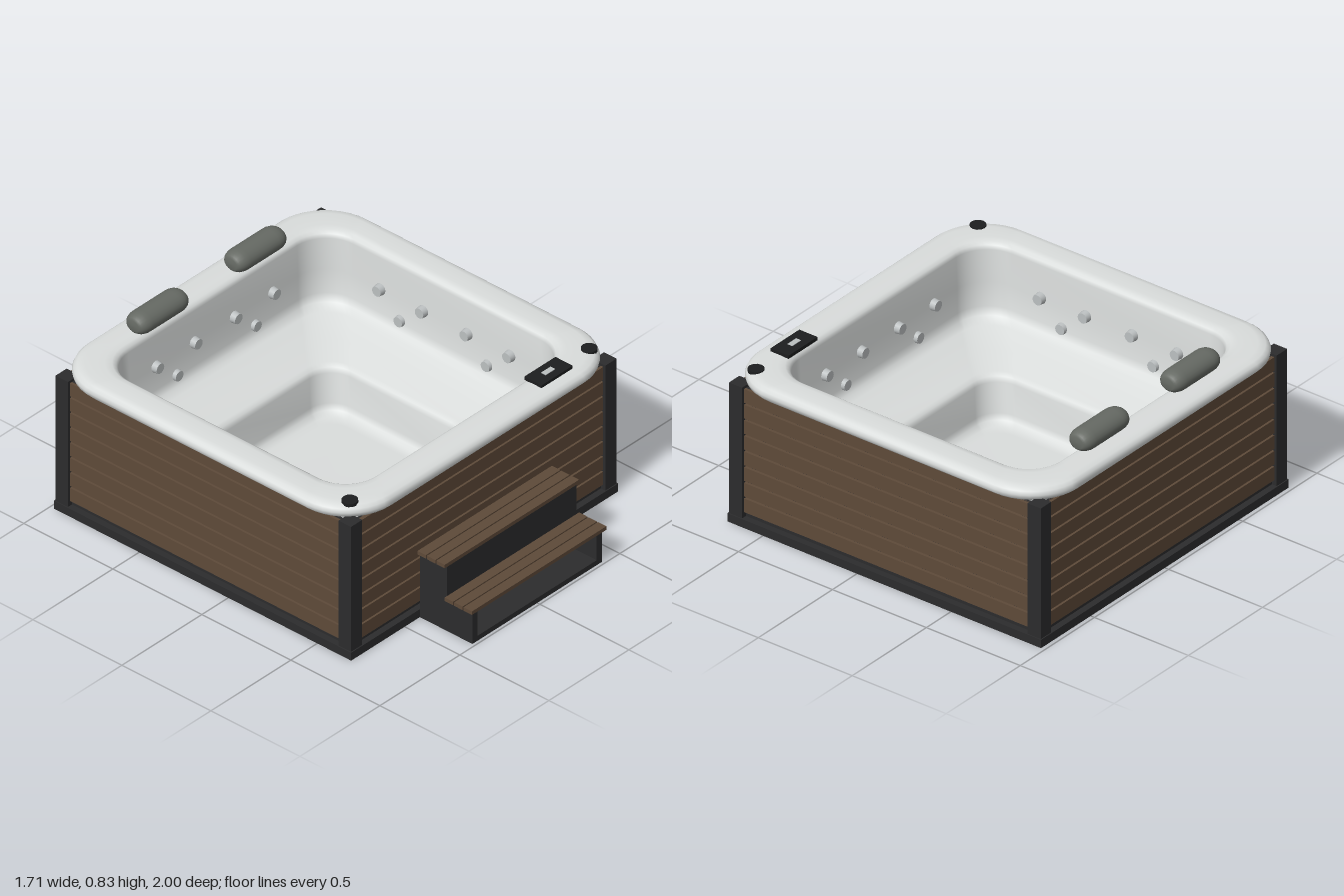
import * as THREE from 'three';

const mat = (name, color, extra = {}) => {
  const m = new THREE.MeshStandardMaterial({ color, ...extra });
  m.name = name;
  return m;
};

// Surface through rounded-square rings; each profile row is [half width, corner radius, y]
function ringSurface(profile, cornerSegs) {
  const pos = [], idx = [];
  const n = 4 * (cornerSegs + 1);
  for (const [h, r, y] of profile) {
    for (let c = 0; c < 4; c++) {
      const mid = Math.PI / 4 + c * Math.PI / 2;
      const cx = Math.sign(Math.cos(mid)) * (h - r), cz = Math.sign(Math.sin(mid)) * (h - r);
      for (let s = 0; s <= cornerSegs; s++) {
        const a = c * Math.PI / 2 + (s / cornerSegs) * Math.PI / 2;
        pos.push(cx + r * Math.cos(a), y, -(cz + r * Math.sin(a)));
      }
    }
  }
  for (let i = 0; i < profile.length - 1; i++) {
    for (let j = 0; j < n; j++) {
      const a = i * n + j, b = i * n + (j + 1) % n, c = a + n, d = b + n;
      idx.push(a, b, c, b, d, c);
    }
  }
  const g = new THREE.BufferGeometry();
  g.setAttribute('position', new THREE.Float32BufferAttribute(pos, 3));
  g.setIndex(idx);
  g.computeVertexNormals();
  return g;
}

export function createModel() {
  const charcoal = mat('charcoal', 0x2c2c2d);
  const wood = mat('brown wood', 0x5e4a39);
  const acrylic = mat('white acrylic', 0xdadddc, { side: THREE.DoubleSide });
  const cushion = mat('grey cushion', 0x666a64);
  const silver = mat('silver', 0xbcc0c1);
  const black = mat('black', 0x1d1e1f);

  const model = new THREE.Group();
  model.name = 'hotTub';
  const tub = new THREE.Group();
  tub.name = 'tub';
  tub.position.z = -0.145;
  model.add(tub);

  const add = (parent, name, geo, material, x = 0, y = 0, z = 0) => {
    const m = new THREE.Mesh(geo, material);
    m.name = name;
    m.position.set(x, y, z);
    parent.add(m);
    return m;
  };
  // Box given by its limits on each axis
  const box = (parent, name, material, [x0, x1], [y0, y1], [z0, z1]) =>
    add(parent, name, new THREE.BoxGeometry(x1 - x0, y1 - y0, z1 - z0), material,
      (x0 + x1) / 2, (y0 + y1) / 2, (z0 + z1) / 2);

  // Base and corner posts
  box(tub, 'base', charcoal, [-0.835, 0.835], [0, 0.04], [-0.835, 0.835]);
  for (const sx of [-1, 1]) for (const sz of [-1, 1]) {
    add(tub, 'cornerPost', new THREE.BoxGeometry(0.07, 0.635, 0.07), charcoal, sx * 0.795, 0.3575, sz * 0.795);
  }

  // Four sides: backing panel, wooden slats and wall jets
  const jetGeo = new THREE.CylinderGeometry(0.024, 0.028, 0.034, 16).rotateX(-Math.PI / 2);
  for (let k = 0; k < 4; k++) {
    const side = new THREE.Group();
    side.name = 'side';
    side.rotation.y = k * Math.PI / 2;
    tub.add(side);
    box(side, 'backingPanel', charcoal, [-0.765, 0.765], [0.04, 0.663], [0.79, 0.805]);
    for (let i = 0; i < 8; i++) {
      const y = 0.065 + i * 0.076;
      box(side, 'slat', wood, [-0.76, 0.76], [y, y + 0.066], [0.8, 0.818]);
    }
    for (const s of [-1, 1]) [0.125, 0.245, 0.365].forEach((x, i) => {
      add(side, 'jet', jetGeo, silver, s * x, i === 1 ? 0.45 : 0.55, 0.675);
    });
  }

  // Rim, seat and footwell in one moulded shell
  const shell = [
    [0.76, 0.17, 0.664], [0.82, 0.22, 0.664], [0.84, 0.24, 0.668], [0.852, 0.25, 0.68],
    [0.855, 0.25, 0.697], [0.85, 0.25, 0.713], [0.836, 0.24, 0.724], [0.81, 0.23, 0.73],
    [0.74, 0.19, 0.73], [0.715, 0.18, 0.727], [0.7, 0.17, 0.717], [0.692, 0.165, 0.7],
    [0.685, 0.16, 0.55], [0.674, 0.16, 0.44], [0.66, 0.155, 0.405], [0.625, 0.15, 0.385],
    [0.52, 0.14, 0.35], [0.425, 0.13, 0.325], [0.405, 0.125, 0.315], [0.393, 0.12, 0.295],
    [0.375, 0.12, 0.16], [0.362, 0.115, 0.135], [0.335, 0.1, 0.12], [0.3, 0.09, 0.117], [0.001, 0.0005, 0.117],
  ];
  add(tub, 'basin', ringSurface(shell, 10), acrylic);

  // Head pillows
  const half = [[0, 0.153], [0.026, 0.152], [0.036, 0.145], [0.044, 0.132], [0.049, 0.112], [0.05, 0.09]];
  const outline = [...half.map(([r, y]) => [r, -y]), ...half.slice().reverse()]
    .map(([r, y]) => new THREE.Vector2(r, y));
  const pillowGeo = new THREE.LatheGeometry(outline, 24).rotateZ(Math.PI / 2).scale(1, 1, 1.25);
  for (const s of [-1, 1]) add(tub, 'pillow', pillowGeo, cushion, s * 0.306, 0.781, -0.728);

  // Control panel, its display and the two valve knobs
  box(tub, 'controlPanel', black, [0.4, 0.595], [0.728, 0.744], [0.698, 0.795]);
  box(tub, 'display', silver, [0.467, 0.525], [0.743, 0.747], [0.733, 0.759]);
  for (const s of [-1, 1]) {
    add(tub, 'valveKnob', new THREE.CylinderGeometry(0.036, 0.036, 0.016, 12), black, s * 0.748, 0.728, 0.75);
  }

  // Entry steps: solid upper riser, open lower box, slatted treads
  const steps = new THREE.Group();
  steps.name = 'steps';
  model.add(steps);
  box(steps, 'upperRiser', charcoal, [-0.405, 0.405], [0, 0.326], [0.692, 0.842]);
  box(steps, 'lowerFloor', charcoal, [-0.405, 0.405], [0, 0.025], [0.842, 0.985]);
  for (const s of [-1, 1]) {
    add(steps, 'lowerSide', new THREE.BoxGeometry(0.033, 0.135, 0.143), charcoal, s * 0.3885, 0.0925, 0.9135);
  }
  box(steps, 'lowerTop', charcoal, [-0.405, 0.405], [0.15, 0.16], [0.842, 0.985]);
  for (const [z0, y] of [[0.69, 0.326], [0.843, 0.16]]) {
    for (let i = 0; i < 3; i++) {
      const z = z0 + i * 0.053;
      box(steps, 'treadSlat', wood, [-0.42, 0.42], [y, y + 0.018], [z, z + 0.047]);
    }
  }
  return model;
}
